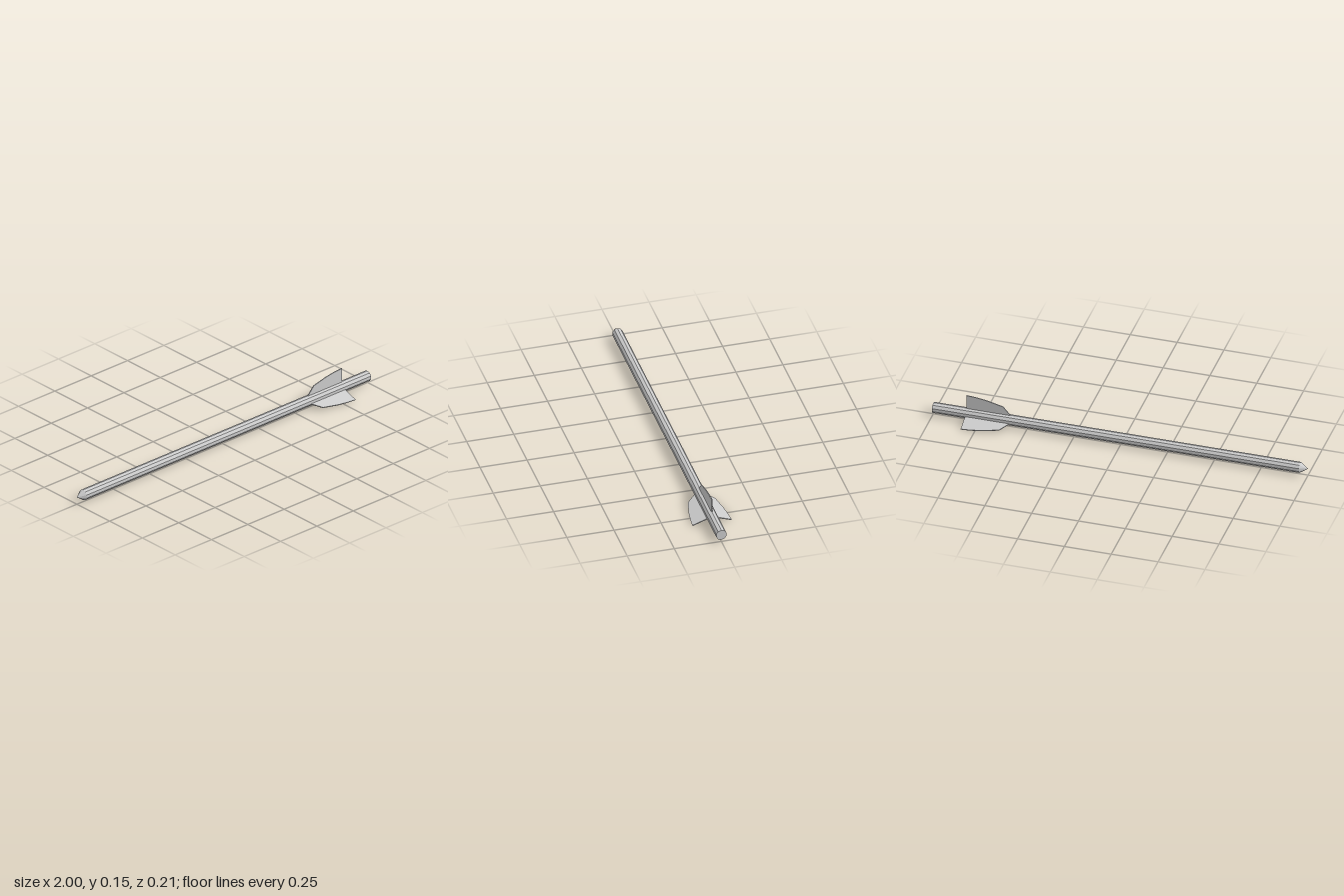
import * as THREE from 'three';

const AXIS_Y = 0.04;
const R = 0.0285;
const material = new THREE.MeshStandardMaterial({ color: 0xcccccc, flatShading: true });

// Ten-sided solid of revolution laid along x; profile is [radius, x] from tail to tip
function turned(name, profile) {
  const points = profile.map(([r, x]) => new THREE.Vector2(r, -x));
  const mesh = new THREE.Mesh(new THREE.LatheGeometry(points, 10, Math.PI / 2), material);
  mesh.rotation.z = Math.PI / 2;
  mesh.name = name;
  return mesh;
}

// Thin feather vane: swept leading edge, straight trailing edge
function vane(name, angle, span) {
  const shape = new THREE.Shape([
    [0.588, 0.02], [0.823, 0.02], [0.823, span], [0.77, span - 0.004],
    [0.715, span - 0.012], [0.628, span - 0.033], [0.588, 0.028],
  ].map(([x, y]) => new THREE.Vector2(x, y)));
  const thickness = 0.005;
  const geometry = new THREE.ExtrudeGeometry(shape, { depth: thickness, bevelEnabled: false });
  geometry.translate(0, 0, -thickness / 2);
  const mesh = new THREE.Mesh(geometry, material);
  mesh.rotation.x = angle;
  mesh.name = name;
  return mesh;
}

export function createModel() {
  const arrow = new THREE.Group();
  arrow.name = 'arrow';

  // Shaft with closed tail, and the short pointed tip
  arrow.add(turned('shaft', [[0, 1], [R, 1], [R, -0.958]]));
  arrow.add(turned('tip', [[R, -0.958], [0, -1]]));

  // Three vanes: one upright, two drooping to the sides
  const droop = THREE.MathUtils.degToRad(109.5);
  arrow.add(vane('topVane', 0, 0.106));
  arrow.add(vane('frontVane', droop, 0.11));
  arrow.add(vane('backVane', -droop, 0.11));

  arrow.position.y = AXIS_Y;
  const model = new THREE.Group();
  model.add(arrow);
  return model;
}
